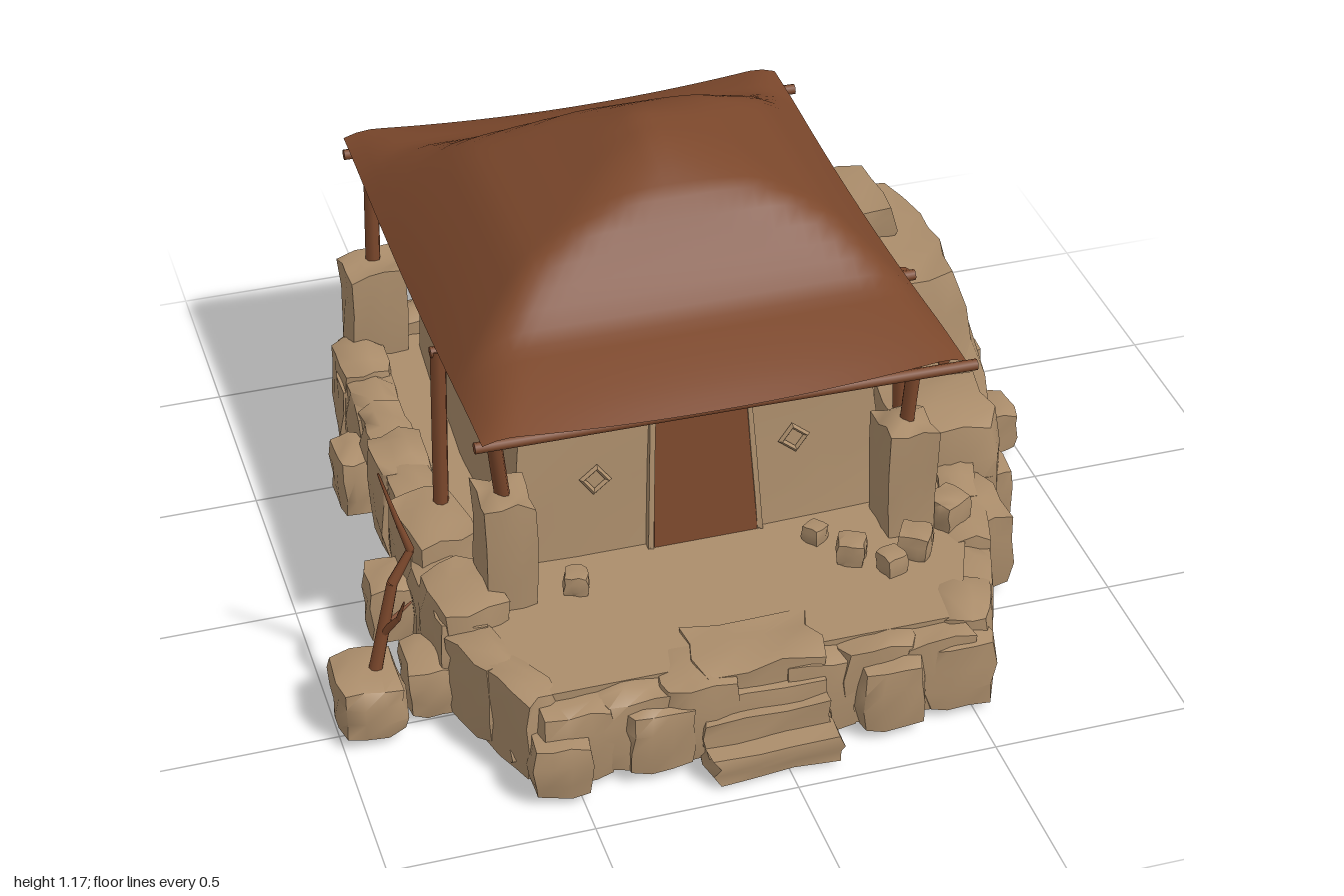
import * as THREE from 'three';
import { toCreasedNormals } from 'three/addons/utils/BufferGeometryUtils.js';

export function createModel() {
  const model = new THREE.Group();
  model.name = 'stoneHut';
  const sand = new THREE.MeshStandardMaterial({ color: 0xab8d6b, side: THREE.DoubleSide });
  sand.name = 'sandstone';
  const wood = new THREE.MeshStandardMaterial({ color: 0x7c482c, side: THREE.DoubleSide });
  wood.name = 'redBrownWood';

  // Repeatable noise in -0.5..0.5, equal for equal positions
  const noise = (x, y, z, s = 0) => {
    const v = Math.sin(Math.round(x * 200) * 12.99 + Math.round(y * 200) * 78.23 + Math.round(z * 200) * 37.72 + s * 4.17) * 4375.85;
    return v - Math.floor(v) - 0.5;
  };
  const lerp = THREE.MathUtils.lerp;
  const add = (name, geo, mat, parent = model) => {
    const m = new THREE.Mesh(geo, mat);
    m.name = name;
    parent.add(m);
    return m;
  };
  const group = (name) => {
    const g = new THREE.Group();
    g.name = name;
    model.add(g);
    return g;
  };
  const warp = (geo, rule, crease = 0.9) => {
    const p = geo.attributes.position, v = new THREE.Vector3();
    for (let i = 0; i < p.count; i++) {
      rule(v.fromBufferAttribute(p, i));
      p.setXYZ(i, v.x, v.y, v.z);
    }
    return toCreasedNormals(geo, crease);
  };

  // Rough rounded stone: centre, size, turn about y
  let seed = 1;
  const rock = (name, x, y, z, w, h, d, turn = 0, parent = model, round = 0.36) => {
    const s = seed++;
    const geo = warp(new THREE.BoxGeometry(1, 1, 1, 3, 3, 3), (v) => {
      const [a, b, c] = [v.x, v.y, v.z];
      v.lerp(v.clone().setLength(0.62), round);
      v.x += noise(a, b, c, s) * 0.1;
      v.y += noise(b, c, a, s + 9) * 0.08;
      v.z += noise(c, a, b, s + 5) * 0.1;
    });
    const m = add(name, geo, sand, parent);
    m.position.set(x, y, z);
    m.scale.set(w, h, d);
    m.rotation.y = turn;
    return m;
  };

  // Sloping block between two rectangles [x0, x1, z0, z1], with upright corners softened
  const taper = (name, low, high, y0, y1, rough, soft) => add(name, warp(new THREE.BoxGeometry(1, 1, 1, 6, 5, 6), (v) => {
    const [a, b, c] = [v.x, v.y, v.z], t = b + 0.5;
    const u = a * (1 - soft * Math.pow(Math.abs(2 * c), 4)) + 0.5, w = c * (1 - soft * Math.pow(Math.abs(2 * a), 4)) + 0.5;
    v.x = lerp(lerp(low[0], low[1], u), lerp(high[0], high[1], u), t) + noise(a, b, c, 1) * rough;
    v.z = lerp(lerp(low[2], low[3], w), lerp(high[2], high[3], w), t) + noise(a, b, c, 2) * rough;
    v.y = lerp(y0, y1, t) + noise(a, b, c, 3) * rough * 0.5;
  }), sand);

  // Wooden stick through points
  const stick = (name, pts, r, parent = model, tip = 1) => {
    const n = pts.length - 1;
    for (let i = 1; i <= n; i++) {
      const a = new THREE.Vector3(...pts[i - 1]), b = new THREE.Vector3(...pts[i]);
      const m = add(name, new THREE.CylinderGeometry(r * lerp(1, tip, i / n), r * lerp(1, tip, (i - 1) / n), a.distanceTo(b), 8), wood, parent);
      m.position.copy(a).lerp(b, 0.5);
      m.quaternion.setFromUnitVectors(new THREE.Vector3(0, 1, 0), b.clone().sub(a).normalize());
    }
  };

  // Platform
  const outline = [[-0.66, -0.76], [-0.68, 0.5], [-0.57, 0.79], [0.48, 0.79], [0.6, 0.5], [0.69, 0.15], [0.6, -0.1], [0.58, -0.84], [-0.52, -0.84]];
  const shape = new THREE.Shape(outline.map(([x, z]) => new THREE.Vector2(x, -z)));
  const deck = new THREE.ExtrudeGeometry(shape, { depth: 0.205, bevelEnabled: false });
  add('platform', deck.rotateX(-Math.PI / 2), sand).position.y = 0.05;

  // Rounded ridges across the underside
  const under = group('undersideRidges');
  for (let i = 0; i < 7; i++) {
    const m = add('ridge', new THREE.CylinderGeometry(0.118, 0.118, 1.2, 12).rotateZ(Math.PI / 2), sand, under);
    m.scale.y = 0.25;
    m.position.set(-0.04, 0.062, -0.72 + i * 0.23);
  }

  // Rim stones around the platform, leaving room for the steps
  const rim = group('rimStones');
  outline.forEach(([x, z], i) => {
    const [nx, nz] = outline[(i + 1) % outline.length];
    const len = Math.hypot(nx - x, nz - z), n = Math.max(1, Math.round(len / 0.16));
    const turn = Math.atan2(z - nz, nx - x), raised = i === 0 || i > 6;
    for (let k = 0; k < n; k++) {
      const t = (k + 0.5) / n, px = lerp(x, nx, t), pz = lerp(z, nz, t);
      if (i === 2 && Math.abs(px + 0.035) < 0.12) continue;
      const h = (raised ? 0.265 : 0.225) + noise(i, k, 3) * 0.04;
      rock('rimStone', px, 0.025 + h / 2, pz, len / n * 1.25, h, 0.13 + noise(k, i, 8) * 0.06, turn, rim);
    }
  });
  // Larger single stones: x, y, z, width, height, depth
  [[-0.755, 0.11, -0.4, 0.09, 0.17, 0.15], [-0.78, 0.11, 0.14, 0.13, 0.16, 0.15], [-0.66, 0.17, 0.4, 0.17, 0.3, 0.22],
    [-0.66, 0.18, 0.12, 0.16, 0.3, 0.26], [-0.76, 0.1, 0.45, 0.13, 0.14, 0.16], [0.68, 0.2, 0.08, 0.27, 0.34, 0.28],
    [0.78, 0.12, 0.12, 0.12, 0.18, 0.2], [0.67, 0.14, 0.33, 0.17, 0.22, 0.24], [-0.1, 0.12, -0.89, 0.13, 0.16, 0.12],
    [0.52, 0.15, -0.88, 0.2, 0.24, 0.14], [0.4, 0.12, -0.87, 0.12, 0.16, 0.14], [-0.54, 0.1, 0.83, 0.14, 0.15, 0.15],
    [-0.3, 0.12, 0.82, 0.16, 0.18, 0.13], [0.28, 0.12, 0.83, 0.16, 0.18, 0.13], [0.46, 0.12, 0.8, 0.18, 0.2, 0.13], [-0.66, 0.13, -0.68, 0.14, 0.22, 0.2]]
    .forEach(([x, y, z, w, h, d], i) => rock('largeStone', x, y, z, w, h, d, noise(i, 2, 2) * 0.3, rim));

  // Loose stones on the deck
  const loose = group('looseStones');
  [[0.3, 0.5, 0.07], [0.38, 0.57, 0.06], [0.46, 0.52, 0.08], [0.24, 0.4, 0.05], [0.58, 0.42, 0.09], [-0.38, 0.42, 0.06]]
    .forEach(([x, z, s]) => rock('looseStone', x, 0.26 + s * 0.3, z, s, s, s, x * 9, loose));

  // Steps: z centre, depth, top
  const steps = group('steps');
  [[0.86, 0.18, 0.085], [0.805, 0.18, 0.15], [0.775, 0.18, 0.2], [0.75, 0.19, 0.258]].forEach(([z, d, top]) =>
    rock('step', -0.035, top / 2 + 0.01, z, 0.31, top - 0.01, d, 0, steps, 0.08));

  // Sloping outbuilding with its roof slab and footing stones
  taper('outbuilding', [0.4, 0.985, -0.94, -0.075], [0.43, 0.835, -0.7, -0.2], 0.04, 0.55, 0.03, 0.1);
  rock('roofSlab', 0.64, 0.575, -0.545, 0.19, 0.12, 0.24, 0.05, model, 0.12).rotation.z = 0.08;
  const footing = group('footingStones');
  [[0.93, -0.16], [0.95, -0.47], [0.94, -0.66], [0.94, -0.87], [0.8, -0.89], [0.66, -0.89], [0.78, -0.13]]
    .forEach(([x, z], i) => rock('footing', x, 0.09, z, 0.11, 0.11 + noise(i, 1, 1) * 0.04, 0.13, 0, footing));

  // House walls
  taper('walls', [-0.51, 0.475, -0.74, 0.305], [-0.475, 0.42, -0.66, 0.235], 0.22, 0.83, 0.012, 0.02);

  // Door, jambs and lintel, leaning with the wall
  const front = group('doorway');
  front.position.set(-0.01, 0.25, 0.309);
  front.rotation.x = -0.115;
  const panel = new THREE.Shape([[-0.14, 0], [0.135, 0], [0.11, 0.37], [-0.13, 0.375]].map((p) => new THREE.Vector2(...p)));
  add('door', new THREE.ExtrudeGeometry(panel, { depth: 0.008, bevelEnabled: false }), wood, front);
  rock('lintel', -0.01, 0.385, 0, 0.26, 0.022, 0.03, 0, front, 0.1);
  for (const s of [-1, 1]) {
    const jamb = rock('jamb', s * 0.133 - 0.008, 0.18, 0, 0.014, 0.37, 0.025, 0, front, 0.1);
    jamb.rotation.z = s * 0.05;
  }

  // Small diamond windows
  for (const [x, y] of [[-0.29, 0.47], [0.22, 0.49]]) {
    const frame = add('smallWindow', toCreasedNormals(new THREE.TorusGeometry(0.033, 0.009, 4, 4), 0.3), sand);
    frame.position.set(x, y, 0.283);
    frame.rotation.set(-0.115, 0, x * 0.5);
  }

  // Stone pillars with short wooden stakes
  for (const [x, z, tx] of [[-0.545, 0.38, -0.575], [0.475, 0.38, 0.49]]) {
    rock('stonePillar', x, 0.39, z, 0.125, 0.33, 0.145, 0, model, 0.14);
    stick('stake', [[x, 0.52, z], [tx, 0.745, z + (x < 0 ? 0.045 : 0.01)]], 0.019);
  }
  rock('backPillar', -0.6, 0.32, -0.79, 0.15, 0.36, 0.15, 0, model, 0.2);

  // Roof posts
  const frame = group('roofFrame');
  for (const [x, y, z] of [[-0.63, 0.28, 0.07], [0.58, 0.33, 0.07], [0.55, 0.2, -0.83], [-0.59, 0.4, -0.82]])
    stick('post', [[x, y, z], [x - Math.sign(x) * 0.01, 0.78, z]], 0.02, frame);

  // Beams under the eaves
  for (const x of [-0.59, 0.52]) stick('sideBeam', [[x, 0.795, 0.5], [x, 0.77, 0.07], [x, 0.77, -0.4], [x, 0.795, -0.87]], 0.014, frame);
  for (const [z, y] of [[0.5, 0.78], [0.07, 0.77], [-0.87, 0.785]]) stick('crossBeam', [[-0.64, y + 0.005, z], [-0.03, y, z], [0.6, y, z + 0.01]], 0.014, frame);

  // Flared hip roof: a soft minimum of a cross profile and a length profile, with sagging eaves
  const acrossX = [[-0.63, 0.825], [-0.41, 1.005], [-0.2, 1.105], [-0.03, 1.19], [0.18, 1.12], [0.37, 1.01], [0.56, 0.83]];
  const alongZ = [[-0.91, 0.84], [-0.71, 0.885], [-0.58, 0.955], [-0.4, 1.1], [-0.23, 1.19], [-0.12, 1.19], [0.07, 1.1], [0.16, 0.99], [0.27, 0.895], [0.54, 0.835]];
  const heightAt = (pts, u) => {
    let i = 1;
    while (i < pts.length - 1 && u > pts[i][0]) i++;
    const [a, b] = [pts[i - 1], pts[i]];
    return lerp(a[1], b[1], (u - a[0]) / (b[0] - a[0]));
  };
  const sheet = new THREE.PlaneGeometry(1.19, 1.45, 34, 40).rotateX(-Math.PI / 2).translate(-0.035, 0, -0.185);
  add('roof', warp(sheet, (v) => {
    const f = heightAt(acrossX, v.x), g = heightAt(alongZ, v.z);
    const h = Math.max(0, 0.06 - Math.abs(f - g));
    const u = Math.abs(v.x + 0.035) / 0.595, w = Math.abs(v.z + 0.185) / 0.725;
    const sag = Math.pow(Math.max(u, w), 6) * (1 - Math.pow(Math.min(u, w), 2));
    v.y = Math.min(f, g) - h * h / 0.24 - sag * 0.035;
  }, 1.2), wood);

  // Pot with a dry branch
  rock('pot', -0.92, 0.1, 0.47, 0.16, 0.145, 0.19, 0, model, 0.45);
  const branch = group('dryBranch');
  stick('stem', [[-0.9, 0.15, 0.47], [-0.84, 0.4, 0.45], [-0.79, 0.48, 0.44], [-0.82, 0.58, 0.43], [-0.855, 0.71, 0.43]], 0.018, branch, 0.15);
  stick('twig', [[-0.875, 0.26, 0.46], [-0.84, 0.33, 0.5], [-0.83, 0.4, 0.53]], 0.011, branch, 0.2);
  stick('twig', [[-0.87, 0.28, 0.46], [-0.79, 0.31, 0.42]], 0.009, branch, 0.3);

  return model;
}
